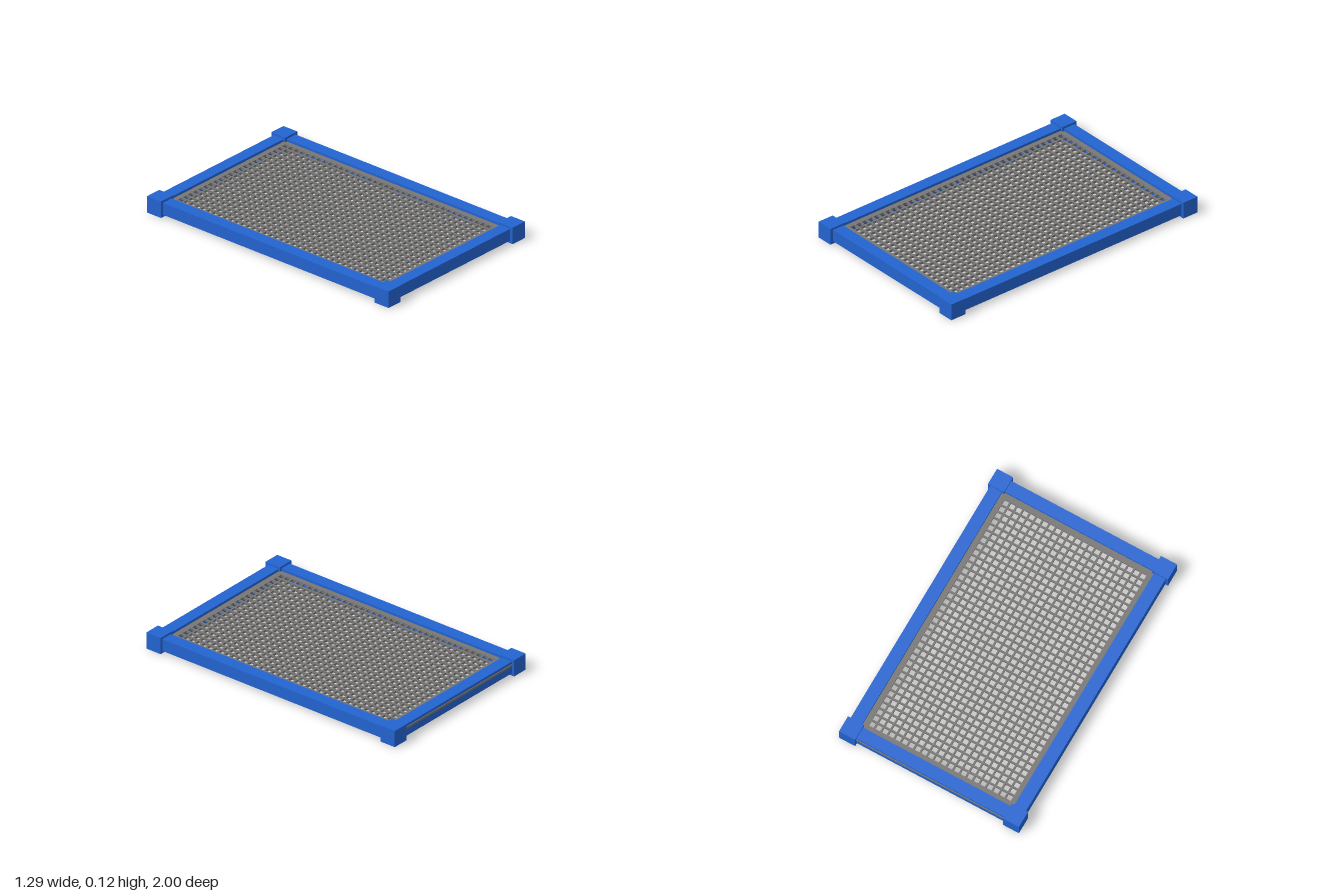
import * as THREE from 'three';

export function createModel() {
  const group = new THREE.Group();
  const blue = new THREE.MeshStandardMaterial({ color: 0x2364d0 });
  blue.name = 'frame blue';
  const grey = new THREE.MeshStandardMaterial({ color: 0x777675 });
  grey.name = 'mesh grey';

  const box = (name, w, h, d, x, y, z) => {
    const mesh = new THREE.Mesh(new THREE.BoxGeometry(w, h, d), blue);
    mesh.name = name;
    mesh.position.set(x, y, z);
    group.add(mesh);
  };

  // Corner blocks and the rails between them
  const midY = 0.0575, block = 0.115, rail = 0.083;
  for (const sx of [-1, 1]) {
    const side = sx > 0 ? 'left' : 'right';
    for (const sz of [-1, 1]) {
      box(`${side}${sz > 0 ? 'Front' : 'Back'}Corner`, block, block, block, sx * 0.5865, midY, sz * 0.9425);
    }
    box(`${side}Rail`, rail, rail, 1.77, sx * 0.586, midY + 0.001, 0);
  }
  box('frontRail', 1.058, rail, rail, 0, midY + 0.001, 0.937);
  box('backRail', 1.058, rail, rail, 0, midY + 0.001, -0.941);

  // Perforated sheet: a flat plate with a grid of square holes
  const rect = (path, x0, y0, x1, y1) => {
    path.moveTo(x0, y0);
    path.lineTo(x1, y0);
    path.lineTo(x1, y1);
    path.lineTo(x0, y1);
    path.closePath();
    return path;
  };
  const sheet = rect(new THREE.Shape(), -0.57, -0.93, 0.57, 0.987);
  const columns = 22, rows = 37, pitch = 0.0468, half = 0.0175;
  for (let i = 0; i < columns; i++) {
    for (let j = 0; j < rows; j++) {
      const x = (i - (columns - 1) / 2) * pitch;
      const y = (j - (rows - 1) / 2) * pitch + 0.004;
      sheet.holes.push(rect(new THREE.Path(), x - half, y - half, x + half, y + half));
    }
  }
  const sheetGeometry = new THREE.ExtrudeGeometry(sheet, { depth: 0.015, bevelEnabled: false });
  sheetGeometry.rotateX(-Math.PI / 2);
  const screen = new THREE.Mesh(sheetGeometry, grey);
  screen.name = 'meshScreen';
  screen.position.y = 0.068;
  group.add(screen);

  return group;
}
